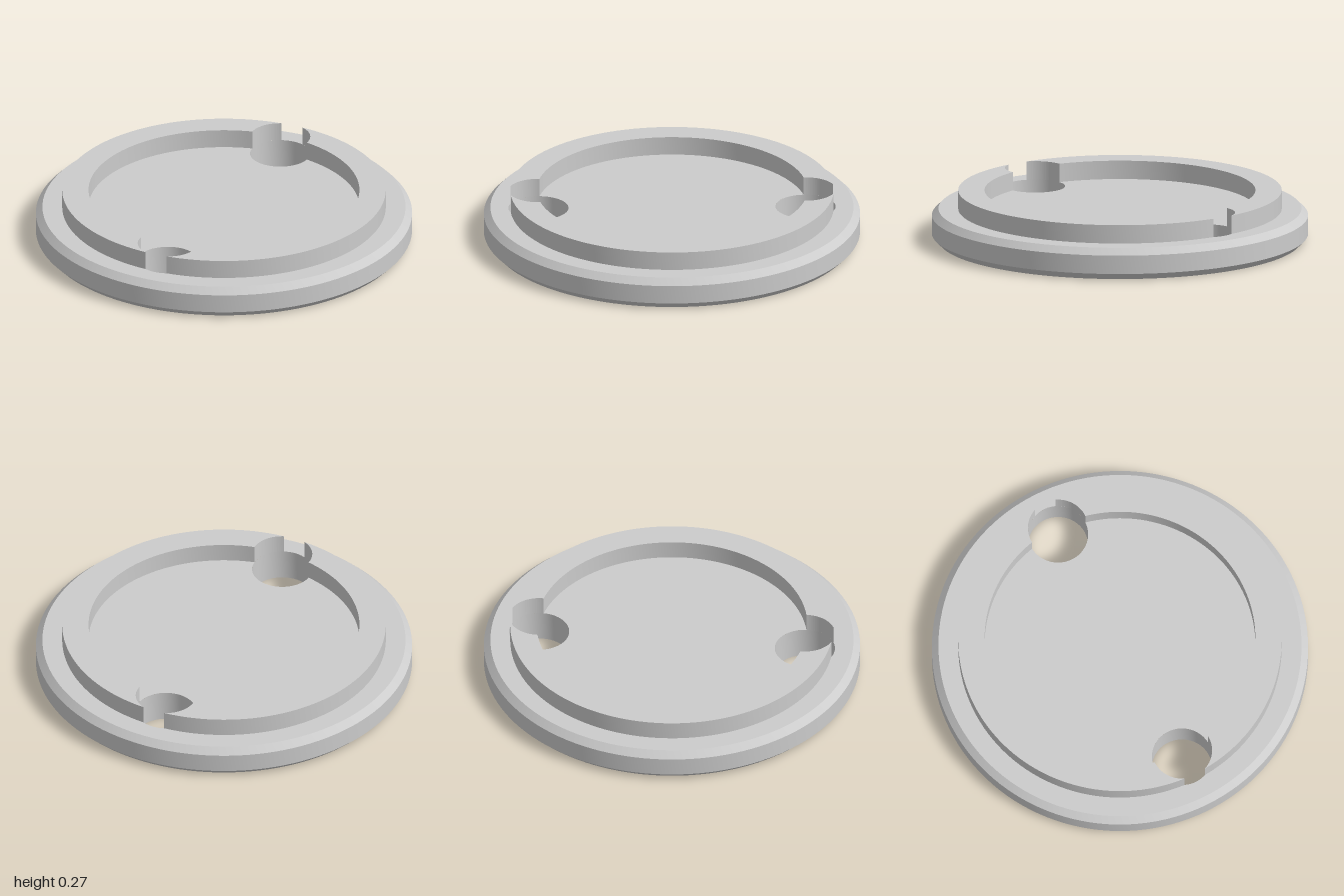
import * as THREE from 'three';
import { toCreasedNormals } from 'three/addons/utils/BufferGeometryUtils.js';

const BASE_TOP = 0.17, RIM_TOP = 0.27;
const RIM_OUTER = 0.86, RIM_INNER = 0.72;
const HOLE_R = 0.16, HOLE_D = 0.71;
const HOLE_ANGLES = [Math.PI / 4, Math.PI * 5 / 4];

export function createModel() {
  const group = new THREE.Group();
  const grey = new THREE.MeshStandardMaterial({ color: 0xcccccc });
  grey.name = 'light grey';

  const add = (name, geometry) => {
    const mesh = new THREE.Mesh(geometry, grey);
    mesh.name = name;
    group.add(mesh);
    return mesh;
  };
  const lathe = (pts, segments) => toCreasedNormals(
    new THREE.LatheGeometry(pts.map(([r, y]) => new THREE.Vector2(r, y)), segments), 0.4);

  // Chamfered edge of the disc
  add('discEdge', lathe([[0.965, 0], [1, 0.035], [1, 0.135], [0.965, BASE_TOP]], 128));

  // Flat faces of the disc, pierced by the two holes
  const disc = new THREE.Shape().absarc(0, 0, 0.965, 0, Math.PI * 2);
  for (const a of HOLE_ANGLES) {
    disc.holes.push(new THREE.Path().absarc(
      HOLE_D * Math.cos(a), HOLE_D * Math.sin(a), HOLE_R, 0, Math.PI * 2, true));
  }
  const face = new THREE.ShapeGeometry(disc, 64).rotateX(-Math.PI / 2);
  add('discTop', face).position.y = BASE_TOP;
  // Turned over about the axis that swaps the two holes
  const bottom = add('discBottom', face.clone()
    .applyMatrix4(new THREE.Matrix4().makeRotationAxis(
      new THREE.Vector3(1, 0, -1).normalize(), Math.PI)));
  bottom.position.y = 0;

  // Inward-facing walls of the holes
  for (const a of HOLE_ANGLES) {
    const bore = add('holeWall', lathe([[HOLE_R, BASE_TOP], [HOLE_R, 0]], 64));
    bore.position.set(HOLE_D * Math.cos(a), 0, -HOLE_D * Math.sin(a));
  }

  // Where a rim circle of radius R meets a hole: angle about the disc and about the hole
  const meet = (R) => {
    const along = (HOLE_D ** 2 + R ** 2 - HOLE_R ** 2) / (2 * HOLE_D);
    const across = Math.sqrt(R ** 2 - along ** 2);
    return { disc: Math.atan2(across, along), hole: Math.atan2(across, along - HOLE_D) };
  };
  const o = meet(RIM_OUTER), i = meet(RIM_INNER);

  // Raised rim, two matching arcs notched by the holes
  HOLE_ANGLES.forEach((a) => {
    const b = a + Math.PI;
    const s = new THREE.Shape();
    s.absarc(0, 0, RIM_OUTER, a + o.disc, b - o.disc, false);
    s.absarc(HOLE_D * Math.cos(b), HOLE_D * Math.sin(b), HOLE_R, b - o.hole, b - i.hole, true);
    s.absarc(0, 0, RIM_INNER, b - i.disc, a + i.disc, true);
    s.absarc(HOLE_D * Math.cos(a), HOLE_D * Math.sin(a), HOLE_R, a + i.hole, a + o.hole, true);
    const geometry = new THREE.ExtrudeGeometry(s, {
      depth: RIM_TOP - BASE_TOP, bevelEnabled: false, curveSegments: 32,
    }).rotateX(-Math.PI / 2);
    add('rimArc', toCreasedNormals(geometry, 0.4)).position.y = BASE_TOP;
  });

  return group;
}
